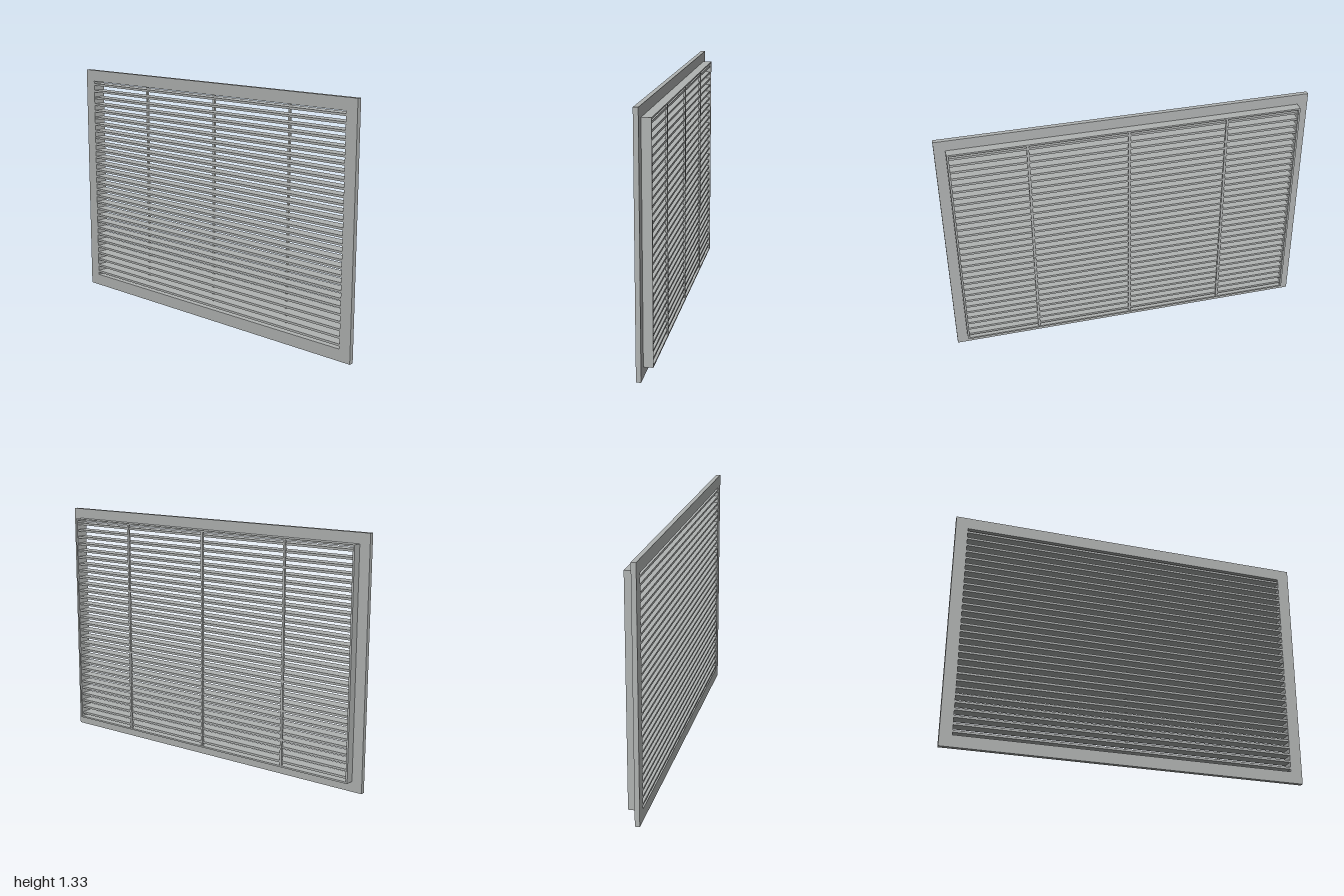
import * as THREE from 'three';

const W = 2, H = 1.334;                 // outer frame
const OPEN_W = 1.866, OPEN_H = 1.204;   // clear opening
const FRONT = 0.037, STEP = 0.012, BACK = -0.037;
const MID = H / 2;

const gray = new THREE.MeshStandardMaterial({ color: 0xb0b3b2 });
gray.name = 'satin gray metal';

// Rectangular ring extruded between two depths
function ring(name, w, h, z0, z1) {
  const rect = (target, rw, rh) => {
    target.moveTo(-rw / 2, -rh / 2);
    target.lineTo(rw / 2, -rh / 2);
    target.lineTo(rw / 2, rh / 2);
    target.lineTo(-rw / 2, rh / 2);
    target.closePath();
    return target;
  };
  const shape = rect(new THREE.Shape(), w, h);
  shape.holes.push(rect(new THREE.Path(), OPEN_W, OPEN_H));
  const geo = new THREE.ExtrudeGeometry(shape, { depth: z1 - z0, bevelEnabled: false });
  const mesh = new THREE.Mesh(geo, gray);
  mesh.name = name;
  mesh.position.set(0, MID, z0);
  return mesh;
}

function bar(name, w, h, x, y, z0, z1) {
  const mesh = new THREE.Mesh(new THREE.BoxGeometry(w, h, z1 - z0), gray);
  mesh.name = name;
  mesh.position.set(x, y, (z0 + z1) / 2);
  return mesh;
}

export function createModel() {
  const model = new THREE.Group();
  model.name = 'ventilationGrille';

  // Flat front flange and the narrower sleeve behind it
  model.add(ring('frontFrame', W, H, STEP, FRONT));
  model.add(ring('rearSleeve', 1.886, 1.222, BACK, STEP));

  // Horizontal slats, with half a gap at top and bottom
  const slats = new THREE.Group();
  slats.name = 'slats';
  const count = 30, pitch = OPEN_H / count;
  for (let i = 0; i < count; i++) {
    const y = MID - OPEN_H / 2 + (i + 0.5) * pitch;
    slats.add(bar('slat', OPEN_W, 0.012, 0, y, -0.03, FRONT - 0.001));
  }
  model.add(slats);

  // Upright stiffeners at the back of the slats
  for (const x of [-0.533, 0, 0.533]) {
    model.add(bar('rearStiffener', 0.012, OPEN_H, x, MID, -0.034, -0.022));
  }
  return model;
}
